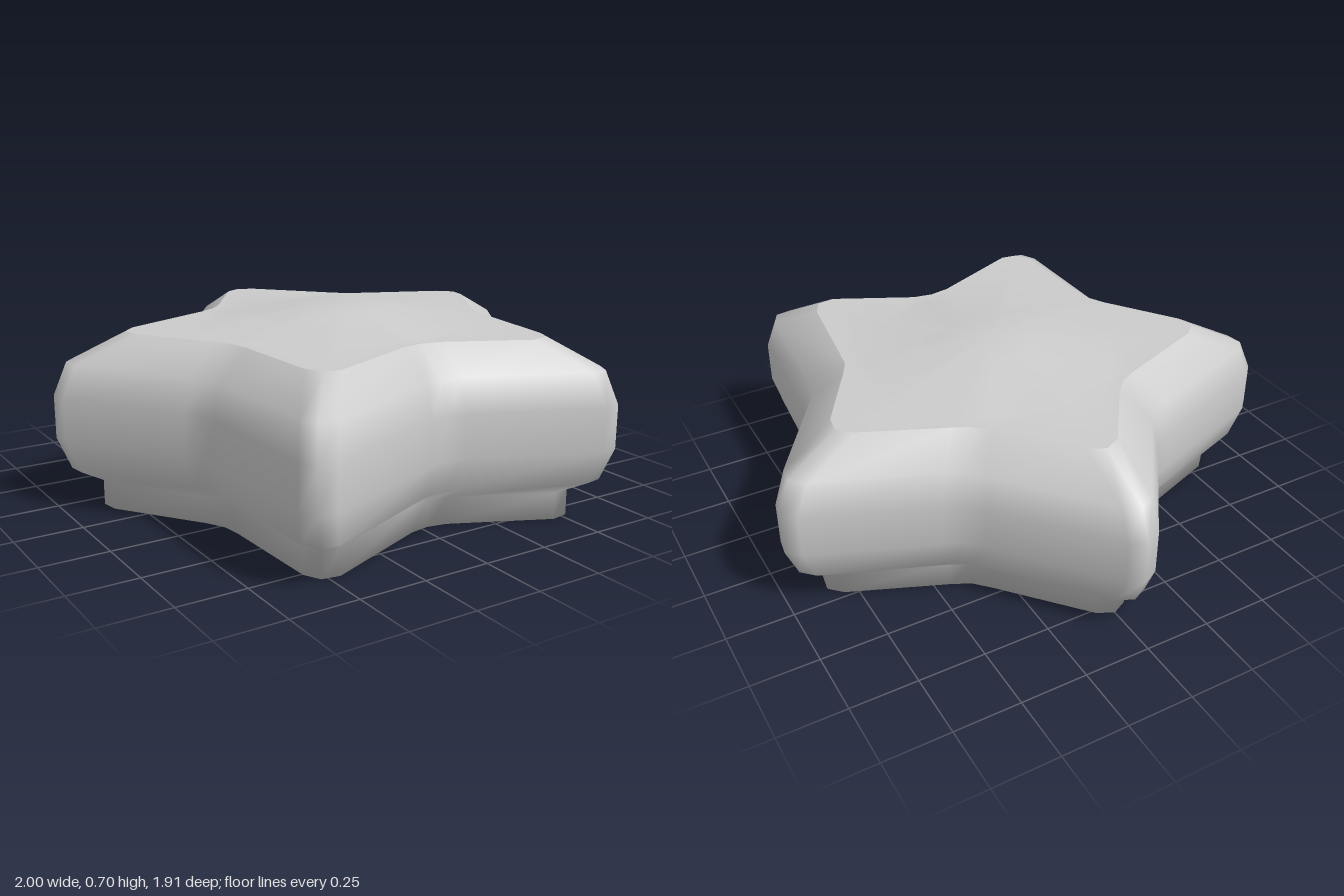
import * as THREE from 'three';

const CENTRE = [0.025, 0.07];
const NOTCH_RADII = [0.69, 0.71, 0.67, 0.73, 0.69];

// Star outline: each corner is a rounded trio of points; "inset" slides the corners inward.
function starRing(y, inset) {
  const ring = [];
  for (let k = 0; k < 10; k++) {
    const tip = k % 2 === 0;
    const a = k * Math.PI / 5;
    const dx = Math.sin(a), dz = -Math.cos(a);
    const [ox, oz, radius, width, bend] = tip
      ? [0, 0.095, 1.05, 0.06, -0.03]
      : [...CENTRE, NOTCH_RADII[(k - 1) / 2], 0.075, 0.013];
    const r = radius - inset * (tip ? 1 : 0.6);
    for (const s of [-1, 0, 1]) {
      const out = r + (s ? bend : 0);
      ring.push([ox + dx * out - dz * s * width, y, oz + dz * out + dx * s * width]);
    }
  }
  return ring;
}

// Circle whose points lie in line with those of the star.
function roundRing(y, radius) {
  return starRing(y, 0).map(([x, , z]) => {
    const dx = x - CENTRE[0], dz = z - CENTRE[1];
    const k = radius / Math.hypot(dx, dz);
    return [CENTRE[0] + dx * k, y, CENTRE[1] + dz * k];
  });
}

// Skin through rings ordered bottom to top; the ends close to a centre point where given.
function loft(name, rings, { bottomY = null, topY = null }) {
  const n = rings[0].length;
  const index = [];
  const points = rings.flat();
  for (let j = 0; j < rings.length - 1; j++) {
    for (let i = 0; i < n; i++) {
      const a = j * n + i, b = j * n + (i + 1) % n;
      index.push(a, a + n, b, b, a + n, b + n);
    }
  }
  const close = (y, start, up) => {
    const c = points.length;
    points.push([CENTRE[0], y, CENTRE[1]]);
    for (let i = 0; i < n; i++) {
      const a = start + i, b = start + (i + 1) % n;
      index.push(...(up ? [a, c, b] : [a, b, c]));
    }
  };
  if (bottomY !== null) close(bottomY, 0, false);
  if (topY !== null) close(topY, (rings.length - 1) * n, true);

  const geometry = new THREE.BufferGeometry();
  geometry.setAttribute('position', new THREE.Float32BufferAttribute(points.flat(), 3));
  geometry.setIndex(index);
  geometry.computeVertexNormals();
  const mesh = new THREE.Mesh(
    geometry,
    new THREE.MeshStandardMaterial({ color: 0xcccccc, side: THREE.DoubleSide }),
  );
  mesh.name = name;
  return mesh;
}

export function createModel() {
  const group = new THREE.Group();
  group.name = 'starCushion';

  // Narrow foot blending into the puffed side wall, as [height, inset]
  const profile = [
    [0, 0.16], [0.1, 0.16], [0.15, 0.05], [0.27, 0], [0.43, 0], [0.55, 0.05], [0.65, 0.265],
  ];
  group.add(loft('body', profile.map(([y, inset]) => starRing(y, inset)), { bottomY: 0 }));

  // Flat star top rising to a shallow round plateau
  group.add(loft('topPanel', [
    starRing(0.65, 0.265), roundRing(0.65, 0.465), roundRing(0.7, 0.175),
  ], { topY: 0.703 }));

  return group;
}
